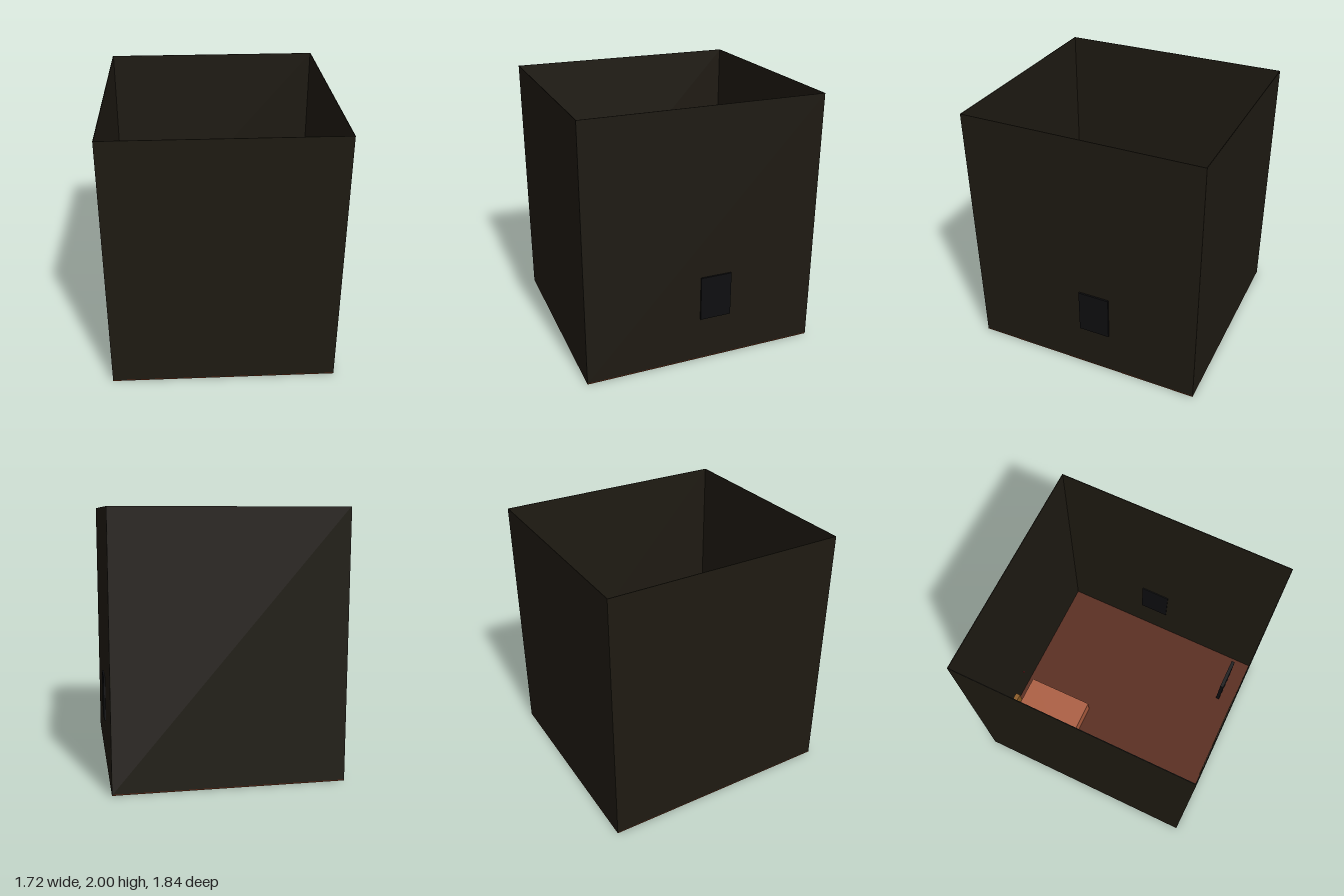
import * as THREE from 'three';

const material = (color) => new THREE.MeshStandardMaterial({ color });

export function createModel() {
  const room = new THREE.Group();
  room.name = 'room';
  const wallMat = material(0x1e1a12);
  const floorMat = material(0x55230f);
  const blackMat = material(0x0e0e10);
  const coverMat = material(0xaa5c3e);
  const goldMat = material(0x8a5a22);
  const woodMat = material(0x76321a);
  const paperMat = material(0x40301a);
  const redMat = material(0x701010);

  // Box given by its extents along each axis
  function block(name, mat, [x0, x1], [y0, y1], [z0, z1]) {
    const mesh = new THREE.Mesh(new THREE.BoxGeometry(x1 - x0, y1 - y0, z1 - z0), mat);
    mesh.position.set((x0 + x1) / 2, (y0 + y1) / 2, (z0 + z1) / 2);
    mesh.name = name;
    room.add(mesh);
    return mesh;
  }

  // Open-topped shell
  const t = 0.005, left = -0.86, right = 0.847, depth = 0.92;
  block('floor', floorMat, [left, right], [0, 0.008], [-depth, depth]);
  block('rightWall', wallMat, [left, left + t], [0.008, 2], [-depth, depth]);
  block('leftWall', wallMat, [right - t, right], [0.008, 2], [-depth, depth]);
  block('frontWall', wallMat, [left + t, right - t], [0.008, 2], [depth - t, depth]);
  block('backWall', wallMat, [left + t, right - t], [0.008, 2], [-depth, -depth + t]);

  // Panel set through the left wall
  block('wallPanel', blackMat, [0.835, 0.86], [0.35, 0.7], [-0.22, 0.025]);

  // Low bed, turned very slightly, with a headboard
  const bed = block('bed', coverMat, [-0.705, -0.21], [0.008, 0.18], [-0.84, -0.27]);
  bed.rotation.y = 0.01;
  block('headboard', goldMat, [-0.655, -0.43], [0.008, 0.3], [-0.885, -0.845]);

  // Upright screen near the front wall
  block('screen', blackMat, [0.41, 0.68], [0.008, 0.35], [0.76, 0.79]);

  // Small shelf and flat pictures on the walls
  block('shelf', woodMat, [-0.745, -0.57], [0.4, 0.6], [0.88, depth - t]);
  for (const [x0, x1] of [[-0.42, -0.25], [-0.15, 0.24]]) {
    block('frontPicture', paperMat, [x0, x1], [0.4, 0.7], [0.909, depth - t]);
  }
  block('sidePicture', paperMat, [left + t, left + t + 0.006], [0.4, 0.7], [-0.14, 0.42]);

  // Little knob by the back wall
  const knob = new THREE.Mesh(new THREE.SphereGeometry(0.01, 12, 8), redMat);
  knob.name = 'knob';
  knob.position.set(-0.245, 0.4, -0.89);
  room.add(knob);

  return room;
}
